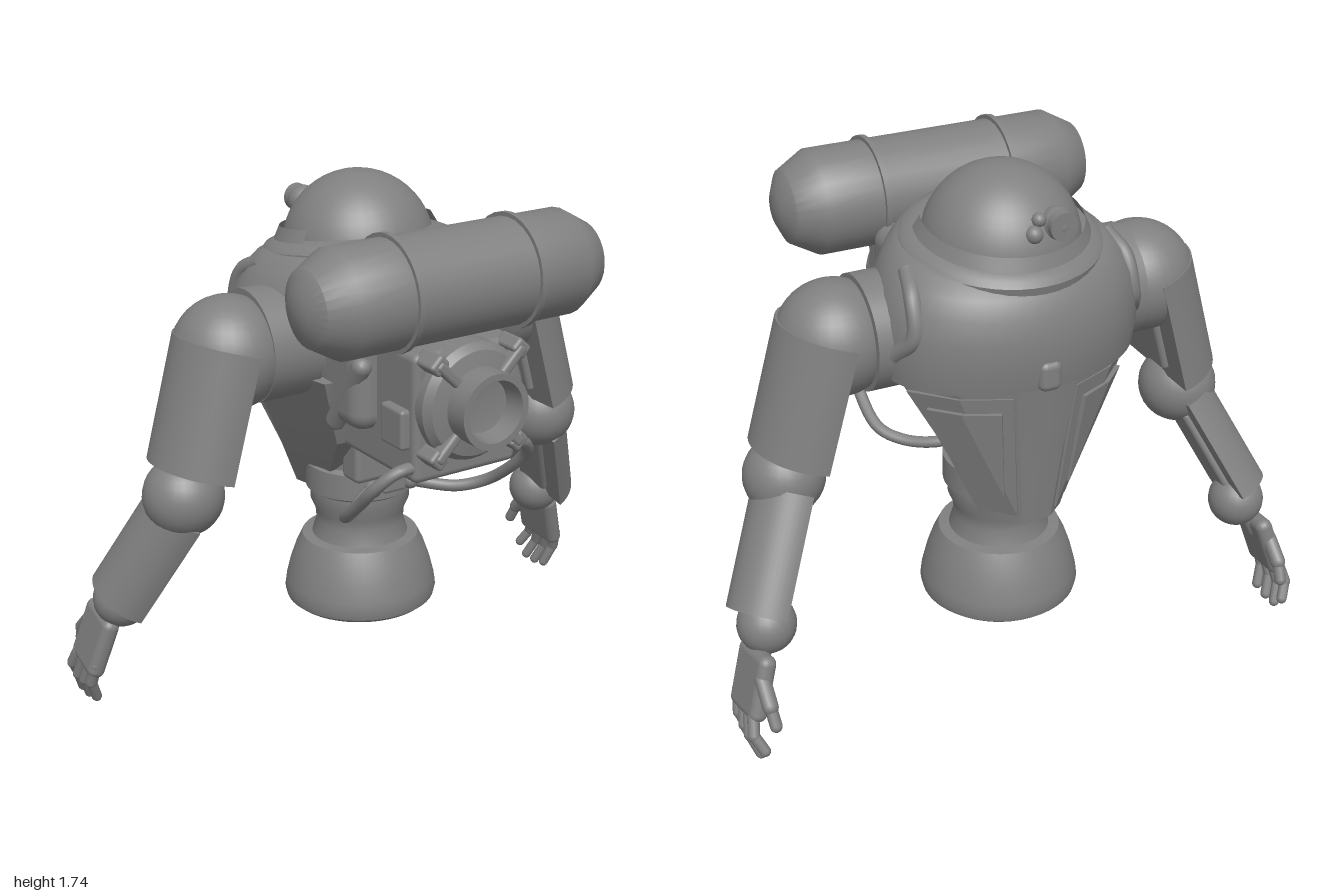
import * as THREE from 'three';
import { toCreasedNormals } from 'three/addons/utils/BufferGeometryUtils.js';
import { RoundedBoxGeometry } from 'three/addons/geometries/RoundedBoxGeometry.js';
import { ConvexGeometry } from 'three/addons/geometries/ConvexGeometry.js';

const mat = new THREE.MeshStandardMaterial({ color: 0x808080 });
const thinMat = new THREE.MeshStandardMaterial({ color: 0x808080, side: THREE.DoubleSide });
const V = (x, y, z) => new THREE.Vector3(x, y, z);

function add(parent, name, geo, pos = [0, 0, 0], material = mat) {
  const m = new THREE.Mesh(geo, material);
  m.name = name;
  m.position.set(...pos);
  parent.add(m);
  return m;
}

const lathe = (pts, seg = 40) =>
  toCreasedNormals(new THREE.LatheGeometry(pts.map(p => new THREE.Vector2(...p)), seg), 0.6);

const tube = (pts, r, seg = 32) =>
  new THREE.TubeGeometry(new THREE.CatmullRomCurve3(pts), seg, r, 10);

// Stretch a mesh's local y axis along b -> a, keeping local z near the hint
function orient(mesh, a, b, hint = V(0, 0, 1)) {
  const y = a.clone().sub(b).normalize();
  const z = hint.clone().addScaledVector(y, -hint.dot(y)).normalize();
  const x = y.clone().cross(z);
  mesh.quaternion.setFromRotationMatrix(new THREE.Matrix4().makeBasis(x, y, z));
  mesh.position.copy(a).add(b).multiplyScalar(0.5);
  return mesh;
}

const rod = (parent, name, a, b, r) =>
  orient(add(parent, name, new THREE.CapsuleGeometry(r, a.distanceTo(b), 5, 10)), a, b);

// Skin closed loops of points, listed bottom to top, and cap both ends
function loft(loops, crease) {
  const n = loops[0].length, pos = loops.flat().flatMap(p => [p.x, p.y, p.z]), idx = [];
  for (let i = 0; i < loops.length - 1; i++) {
    for (let j = 0; j < n; j++) {
      const a = i * n + j, b = i * n + (j + 1) % n;
      idx.push(a, b, b + n, a, b + n, a + n);
    }
  }
  const top = (loops.length - 1) * n;
  for (let j = 1; j < n - 1; j++) idx.push(0, j + 1, j, top, top + j, top + j + 1);
  const g = new THREE.BufferGeometry();
  g.setAttribute('position', new THREE.Float32BufferAttribute(pos, 3));
  g.setIndex(idx);
  return toCreasedNormals(g, crease);
}

// Solid half cylinder whose round side faces outward
function halfSleeve(parent, name, a, b, r, s) {
  const len = a.distanceTo(b), g = new THREE.Group();
  g.name = name;
  add(g, name + 'Shell', new THREE.CylinderGeometry(r, r, len, 28, 1, false, s > 0 ? 0 : Math.PI, Math.PI));
  add(g, name + 'InnerFace', new THREE.PlaneGeometry(2 * r, len), [0, 0, 0], thinMat).rotation.y = Math.PI / 2;
  add(g, name + 'InnerRidge', new RoundedBoxGeometry(0.04, len * 0.8, r, 2, 0.015));
  parent.add(orient(g, a, b));
}

function makeArm(s) {
  const arm = new THREE.Group();
  arm.name = s > 0 ? 'leftArm' : 'rightArm';
  const P = (x, y, z) => V(s * x, y, z);

  const socket = add(arm, 'shoulderSocket', new THREE.CylinderGeometry(0.185, 0.185, 0.18, 32), [s * 0.37, 1.24, -0.15]);
  socket.rotation.z = Math.PI / 2;
  add(arm, 'shoulderBall', new THREE.SphereGeometry(0.185, 32, 20), [s * 0.53, 1.235, -0.14]);
  halfSleeve(arm, 'upperArm', P(0.52, 1.265, -0.135), P(0.63, 0.865, -0.135), 0.19, s);
  add(arm, 'elbowBall', new THREE.SphereGeometry(0.132, 28, 18), [s * 0.712, 0.79, -0.135]);
  halfSleeve(arm, 'forearm', P(0.69, 0.735, -0.16), P(0.845, 0.405, -0.3), 0.135, s);
  add(arm, 'wristBall', new THREE.SphereGeometry(0.095, 24, 16), [s * 0.86, 0.39, -0.325]);

  // Hand: flat palm, four bent fingers and a thumb
  rod(arm, 'handJoint', P(0.88, 0.36, -0.36), P(0.915, 0.28, -0.385), 0.03);
  const palm = add(arm, 'palm', new RoundedBoxGeometry(0.06, 0.22, 0.19, 3, 0.028));
  orient(palm, P(0.905, 0.335, -0.37), P(0.965, 0.14, -0.405), V(0, 0.15, 1));
  const fingers = [[-0.325, 0.17, -0.37, 0.03], [-0.375, 0.155, -0.425, 0.02],
    [-0.425, 0.15, -0.478, 0.022], [-0.468, 0.16, -0.52, 0.06]];
  for (const [z0, y0, z1, y1] of fingers) {
    const knuckle = P(0.968, y0, z0), bend = P(0.978, (y0 + y1) / 2, (z0 + z1) / 2);
    rod(arm, 'fingerBase', knuckle, bend, 0.02);
    rod(arm, 'fingerTip', bend, P(0.953, y1, z1), 0.018);
  }
  rod(arm, 'thumbBase', P(0.925, 0.28, -0.45), P(0.925, 0.22, -0.515), 0.026);
  rod(arm, 'thumbTip', P(0.925, 0.22, -0.515), P(0.92, 0.165, -0.545), 0.02);
  return arm;
}

export function createModel() {
  const root = new THREE.Group();
  root.name = 'divingRobot';

  // Upper torso: egg-shaped sections [y, half width, front z, back z], leaning forward
  const sections = [[1.12, 0.39, -0.52, 0.03], [1.14, 0.42, -0.545, 0.08], [1.22, 0.43, -0.558, 0.12],
    [1.32, 0.425, -0.56, 0.15], [1.4, 0.405, -0.545, 0.16], [1.46, 0.37, -0.52, 0.14],
    [1.5, 0.33, -0.49, 0.12], [1.515, 0.29, -0.46, 0.09]];
  const mid = -0.25;
  add(root, 'upperTorso', loft(sections.map(([y, rx, zf, zb], i) =>
    Array.from({ length: 48 }, (_, j) => {
      const t = j / 48 * Math.PI * 2, c = Math.cos(t);
      const z = mid + c * (c > 0 ? zb - mid : mid - zf);
      return V(rx * Math.sin(t), y + 0.02 * i * (z + 0.21), z);
    })), 0.7));

  // Lower chest: angular wedge with a narrow front strip, tapering to the waist
  const wedge = (y, half) => [...half, ...half.slice(1, -1).reverse().map(([x, z]) => [-x, z])]
    .map(([x, z]) => V(x, y, z));
  add(root, 'lowerChest', loft([
    wedge(0.63, [[0, -0.2], [0.12, -0.24], [0.15, -0.38], [0.11, -0.43], [0.05, -0.48], [0, -0.485]]),
    wedge(0.9, [[0, 0.02], [0.22, 0], [0.265, -0.35], [0.18, -0.445], [0.075, -0.505], [0, -0.51]]),
    wedge(1.14, [[0, 0.1], [0.3, 0.06], [0.39, -0.32], [0.26, -0.46], [0.1, -0.53], [0, -0.535]]),
  ], 0.4));

  // Small rounded catch at the middle of the chest
  add(root, 'chestCatch', new RoundedBoxGeometry(0.075, 0.1, 0.05, 4, 0.024), [0, 1.18, -0.545]);

  for (const s of [-1, 1]) {
    // Raised triangular chest plates, one inside the other
    const panel = (name, pts, d) => add(root, name, new ConvexGeometry(pts.flatMap(([x, y, z]) =>
      [V(s * x, y, z), V(s * (x + 0.6 * d), y, z - 0.8 * d)])));
    panel('chestPlate', [[0.1, 1.11, -0.515], [0.25, 1.11, -0.45], [0.37, 1.11, -0.33],
      [0.06, 0.66, -0.47], [0.13, 0.66, -0.4]], 0.014);
    panel('chestPlateInset', [[0.13, 1.06, -0.5], [0.24, 1.06, -0.447], [0.32, 1.06, -0.37], [0.1, 0.74, -0.46]], 0.024);

    // Flat side strap over the chest
    add(root, 'chestStrap', tube([V(s * 0.335, 1.47, -0.26), V(s * 0.357, 1.42, -0.35),
      V(s * 0.367, 1.31, -0.385), V(s * 0.405, 1.23, -0.32)], 0.028));

    // Backpack side braces and boxes
    rod(root, 'backpackBrace', V(s * 0.24, 1.22, 0.18), V(s * 0.24, 1.0, 0.03), 0.034);
    add(root, 'backpackSideBox', new RoundedBoxGeometry(0.07, 0.13, 0.12, 2, 0.012), [s * 0.19, 1.065, 0.32]);
    add(root, 'backpackShoulderFill', new RoundedBoxGeometry(0.16, 0.44, 0.24, 4, 0.06), [s * 0.19, 1.22, 0.08]);

    // Hose from the backpack round to the waist
    add(root, 'hose', tube([V(s * 0.16, 0.94, 0.38), V(s * 0.24, 0.935, 0.38), V(s * 0.295, 0.88, 0.34),
      V(s * 0.3, 0.8, 0.26), V(s * 0.28, 0.71, 0.14), V(s * 0.21, 0.68, 0.07),
      V(s * 0.12, 0.69, 0), V(s * 0.06, 0.71, -0.02)], 0.02, 48));
    add(root, 'hoseCollar', new THREE.SphereGeometry(0.03, 14, 10), [s * 0.075, 0.705, -0.01]);
    root.add(makeArm(s));
  }

  // Head: tilted collar, dome, brim and lamps
  const head = new THREE.Group();
  head.name = 'head';
  head.position.set(0, 1.51, -0.21);
  head.rotation.x = -0.14;
  root.add(head);
  add(head, 'collar', lathe([[0.312, -0.05], [0.315, -0.005], [0.3, 0.012], [0.27, 0.025], [0.24, 0.03]], 48));
  add(head, 'dome', new THREE.SphereGeometry(0.25, 40, 24), [0, -0.022, 0]);
  add(head, 'brim', new THREE.CylinderGeometry(0.252, 0.275, 0.045, 40, 1, true, Math.PI - 1.9, 3.8), [0, 0.042, 0], thinMat);
  add(root, 'largeLamp', new THREE.SphereGeometry(0.052, 20, 14), [-0.085, 1.605, -0.41]);
  add(root, 'largeLampLens', new THREE.CylinderGeometry(0.045, 0.045, 0.06, 20), [-0.085, 1.61, -0.43]).rotation.x = Math.PI / 2;
  add(root, 'smallLamp', new THREE.SphereGeometry(0.028, 16, 12), [0, 1.59, -0.43]);
  add(root, 'smallLamp', new THREE.SphereGeometry(0.022, 16, 12), [-0.02, 1.63, -0.42]);

  // Air tank lying across the back
  const tankHalf = [[0.172, 0.24], [0.172, 0.42], [0.12, 0.512], [0.06, 0.542], [0, 0.55]];
  const tankPts = [...tankHalf.map(([r, y]) => [r, -y]).reverse(), ...tankHalf];
  add(root, 'airTank', lathe(tankPts, 28).rotateZ(Math.PI / 2), [0, 1.488, 0.31]);
  for (const x of [-0.225, 0.225]) {
    add(root, 'tankBand', new THREE.CylinderGeometry(0.185, 0.185, 0.018, 32), [x, 1.488, 0.31]).rotation.z = Math.PI / 2;
  }

  // Backpack with round port and four clamps
  add(root, 'backpack', new RoundedBoxGeometry(0.39, 0.42, 0.42, 3, 0.025), [0, 1.1, 0.2]);
  add(root, 'tankCradle', new RoundedBoxGeometry(0.34, 0.2, 0.2, 3, 0.03), [0, 1.35, 0.1]);
  add(root, 'port', lathe([[0.19, 0.36], [0.19, 0.44], [0.17, 0.465], [0.122, 0.475], [0.122, 0.56],
    [0.1, 0.56], [0.088, 0.49], [0, 0.475]]).rotateX(Math.PI / 2), [0, 1.14, 0]);
  for (let i = 0; i < 4; i++) {
    const a = Math.PI / 4 + i * Math.PI / 2;
    const x = Math.cos(a), y = Math.sin(a);
    add(root, 'portClamp', new RoundedBoxGeometry(0.12, 0.035, 0.05, 2, 0.012),
      [0.165 * x, 1.14 + 0.165 * y, 0.465]).rotation.z = a;
    add(root, 'portClampFoot', new RoundedBoxGeometry(0.05, 0.06, 0.1, 2, 0.012),
      [0.215 * x, 1.14 + 0.215 * y, 0.435]).rotation.z = a;
  }

  // Waist rings and hollow flared base
  add(root, 'waistAndBase', lathe([[0, 0.42], [0.15, 0.4], [0.19, 0.3], [0.205, 0.24], [0.22, 0.226], [0.24, 0.226],
    [0.257, 0.24], [0.263, 0.265], [0.258, 0.3], [0.243, 0.36], [0.222, 0.42], [0.2, 0.465], [0.165, 0.47],
    [0.15, 0.52], [0.153, 0.56], [0.17, 0.6], [0.17, 0.64], [0.185, 0.65], [0.185, 0.74], [0.165, 0.75],
    [0.17, 0.83], [0.19, 0.84], [0.19, 0.92], [0, 0.92]], 48), [0, 0, -0.21]);
  add(root, 'hoseBlock', new RoundedBoxGeometry(0.09, 0.06, 0.07, 2, 0.012), [0, 0.715, -0.02]);
  add(root, 'waistBackPlate', new RoundedBoxGeometry(0.3, 0.18, 0.1, 2, 0.02), [0, 0.83, -0.04]);

  return root;
}
